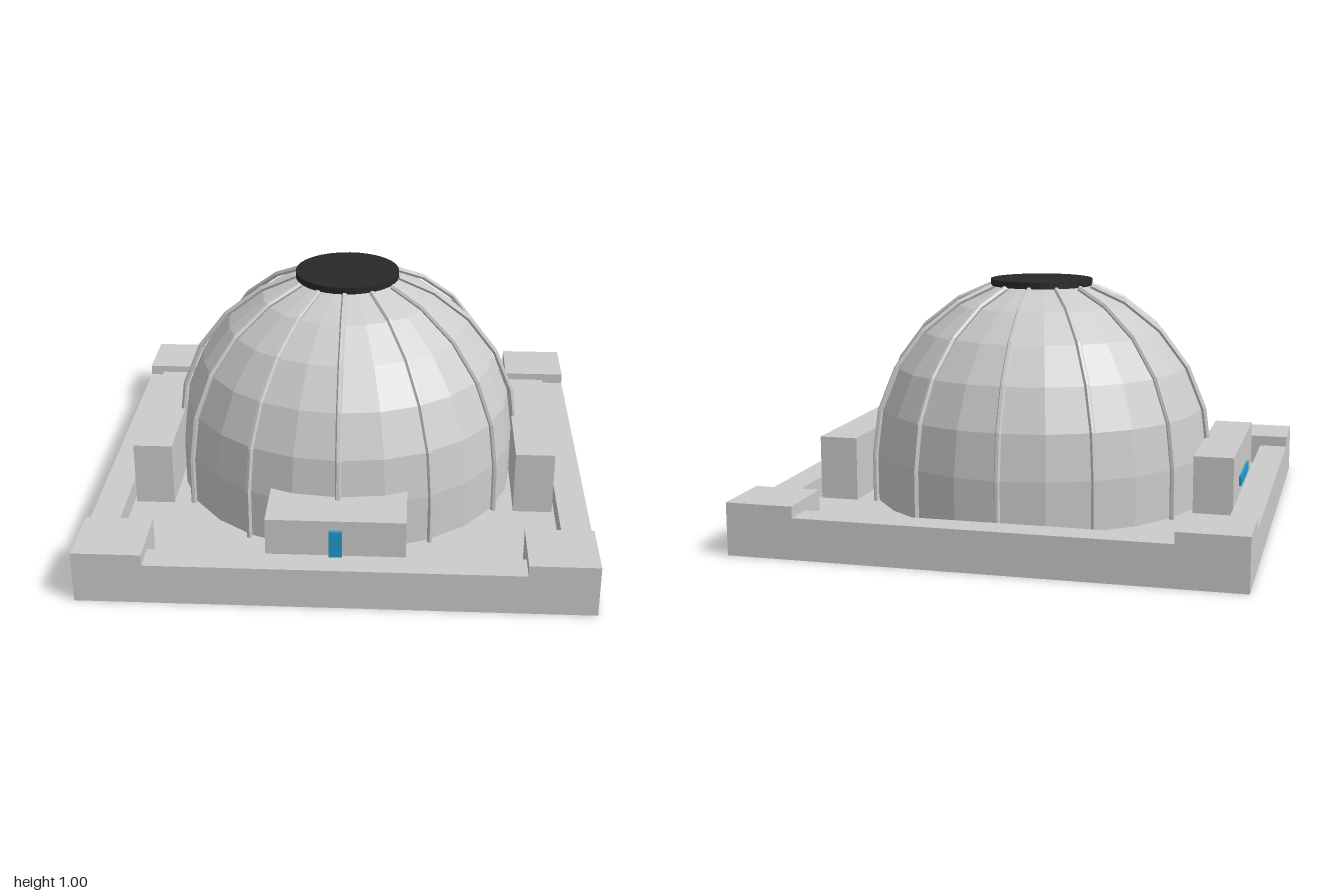
import * as THREE from 'three';

const material = (color) => new THREE.MeshStandardMaterial({ color, flatShading: true });
const GREY = material(0xcccccc);
const DARK = material(0x28282a);
const BLUE = material(0x2299cc);

export function createModel() {
  const model = new THREE.Group();
  model.name = 'domedHall';

  const add = (name, geometry, mat = GREY, parent = model) => {
    const mesh = new THREE.Mesh(geometry, mat);
    mesh.name = name;
    parent.add(mesh);
    return mesh;
  };
  // Box given by its lower and upper corner
  const box = (name, [x0, y0, z0], [x1, y1, z1], mat) =>
    add(name, new THREE.BoxGeometry(x1 - x0, y1 - y0, z1 - z0), mat)
      .position.set((x0 + x1) / 2, (y0 + y1) / 2, (z0 + z1) / 2);

  const floorY = 0.08;

  // Base slab, perimeter wall and raised corner blocks
  box('baseSlab', [-1, 0, -1], [1, floorY, 1]);
  const square = (h) => [[-h, -h], [h, -h], [h, h], [-h, h]].map(([x, y]) => new THREE.Vector2(x, y));
  const frame = new THREE.Shape(square(1));
  frame.holes.push(new THREE.Path(square(0.88).reverse()));
  const wall = new THREE.ExtrudeGeometry(frame, { depth: 0.165 - floorY, bevelEnabled: false });
  wall.rotateX(-Math.PI / 2).translate(0, floorY, 0);
  add('perimeterWall', wall);
  for (const sx of [-1, 1]) {
    for (const sz of [-1, 1]) {
      add('cornerBlock', new THREE.BoxGeometry(0.27, 0.21 - floorY, 0.27))
        .position.set(sx * 0.865, (0.21 + floorY) / 2, sz * 0.865);
    }
  }

  // Faceted dome: short drum below a hemisphere
  const springY = 0.28;
  const arcPoint = (radius, degrees) => {
    const a = THREE.MathUtils.degToRad(degrees);
    return new THREE.Vector2(radius * Math.cos(a), springY + radius * Math.sin(a));
  };
  const profile = [new THREE.Vector2(0.71, floorY)];
  for (let lat = 0; lat < 90; lat += 15) profile.push(arcPoint(0.71, lat));
  profile.push(new THREE.Vector2(0, springY + 0.71));
  add('dome', new THREE.LatheGeometry(profile, 24));

  // Twelve ribs, each a chain of straight bars following the dome
  const ribPath = [new THREE.Vector2(0.725, floorY), ...[0, 15, 30, 45, 60, 72.5].map((d) => arcPoint(0.725, d))];
  const bars = ribPath.slice(1).map((b, i) => {
    const a = ribPath[i];
    const bar = new THREE.CylinderGeometry(0.012, 0.012, a.distanceTo(b) + 0.003, 6);
    bar.rotateZ(Math.atan2(b.y - a.y, b.x - a.x) - Math.PI / 2);
    return bar.translate((a.x + b.x) / 2, (a.y + b.y) / 2, 0);
  });
  for (let i = 0; i < 12; i++) {
    const rib = new THREE.Group();
    rib.name = 'rib';
    rib.rotation.y = (i * Math.PI) / 6;
    bars.forEach((bar) => add('ribBar', bar, GREY, rib));
    model.add(rib);
  }

  // Dark cap over the crown
  add('crownCap', new THREE.CylinderGeometry(0.215, 0.215, 0.027, 32), DARK).position.y = 0.987;

  // Front entrance with its door
  box('entrance', [-0.27, floorY, 0.64], [0.27, 0.315, 0.89]);
  box('door', [-0.025, 0.16, 0.885], [0.025, 0.275, 0.905], BLUE);

  // Side annexes with window strips
  for (const s of [-1, 1]) {
    add('sideAnnex', new THREE.BoxGeometry(0.16, 0.345 - floorY, 0.74))
      .position.set(s * 0.79, (0.345 + floorY) / 2, 0);
    add('windowStrip', new THREE.BoxGeometry(0.015, 0.04, 0.3), BLUE)
      .position.set(s * 0.873, 0.2, 0);
  }

  return model;
}
